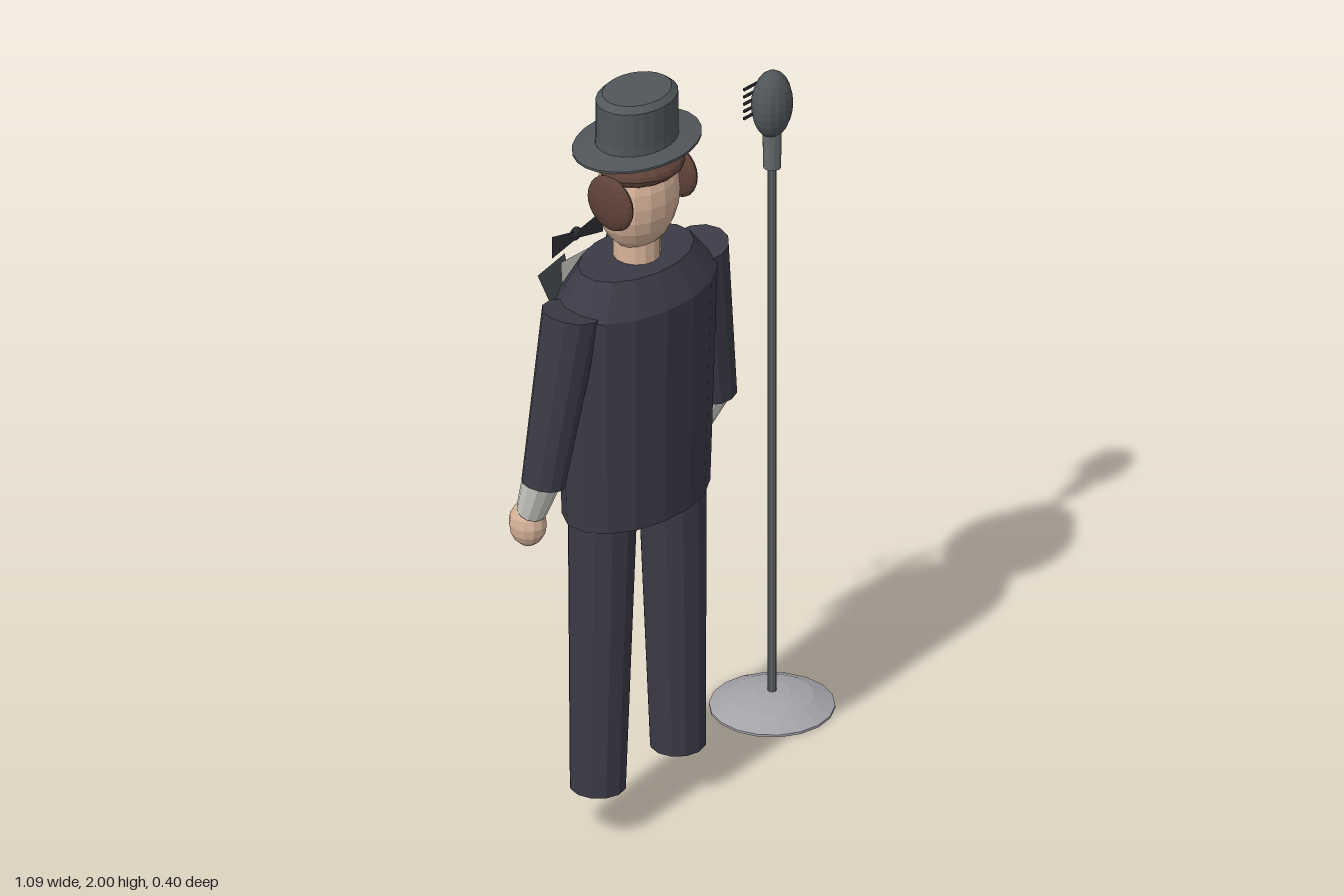
import * as THREE from 'three';

const mat = (name, color, side = THREE.FrontSide) =>
  new THREE.MeshStandardMaterial({ name, color, side, flatShading: true });

export function createModel() {
  const root = new THREE.Group();
  root.name = 'singerWithMicrophone';

  const navy = mat('navySuit', 0x3b3b47);
  const felt = mat('greyFelt', 0x50565a, THREE.DoubleSide);
  const skin = mat('skin', 0xd8b49a);
  const brown = mat('brownHair', 0x5e4238);
  const white = mat('whiteLinen', 0xd6d6d0, THREE.DoubleSide);
  const black = mat('blackSilk', 0x2c2f34, THREE.DoubleSide);
  const steel = mat('steel', 0x666a6c);
  const silver = mat('silverBase', 0xa2a2a8);

  const add = (parent, name, geometry, material, x = 0, y = 0, z = 0) => {
    const m = new THREE.Mesh(geometry, material);
    m.name = name;
    m.position.set(x, y, z);
    parent.add(m);
    return m;
  };
  const ellipsoid = (rx, ry, rz, w = 16, h = 12) => new THREE.SphereGeometry(1, w, h).scale(rx, ry, rz);
  const lathe = (points, sides, depth = 1, start = 0) =>
    new THREE.LatheGeometry(points.map(([r, y]) => new THREE.Vector2(r, y)), sides, start).scale(1, 1, depth);

  // Tapered tube between two points
  const limb = (parent, name, a, b, ra, rb, material, sides = 12) => {
    const from = new THREE.Vector3(...a), to = new THREE.Vector3(...b);
    const dir = to.clone().sub(from);
    const m = add(parent, name, new THREE.CylinderGeometry(rb, ra, dir.length(), sides), material);
    m.position.copy(from).addScaledVector(dir, 0.5);
    m.quaternion.setFromUnitVectors(new THREE.Vector3(0, 1, 0), dir.normalize());
    return m;
  };

  // Flat convex panel as a triangle fan
  const panel = (parent, name, corners, material) => {
    const g = new THREE.BufferGeometry();
    g.setAttribute('position', new THREE.Float32BufferAttribute(corners.flat(), 3));
    const index = [];
    for (let i = 1; i < corners.length - 1; i++) index.push(0, i, i + 1);
    g.setIndex(index);
    g.computeVertexNormals();
    return add(parent, name, g, material);
  };

  // The singer looks towards -z
  const man = new THREE.Group();
  man.name = 'singer';
  man.position.x = -0.194;
  root.add(man);
  const cz = 0.052;

  // Jacket body
  add(man, 'jacket', lathe([[0, 0.87], [0.217, 0.87], [0.238, 1.46], [0.17, 1.545], [0, 1.545]],
    16, 0.63, Math.PI / 16), navy, 0, 0, cz);

  // Neck, head and hair
  add(man, 'neck', new THREE.CylinderGeometry(0.058, 0.058, 0.15, 14), skin, 0, 1.585, 0.055);
  add(man, 'head', ellipsoid(0.113, 0.148, 0.092), skin, 0, 1.718, 0.058);
  add(man, 'topHair', ellipsoid(0.116, 0.04, 0.096), brown, 0, 1.805, 0.071);

  // Hat
  add(man, 'hatBrim', lathe([[0, 1.845], [0.11, 1.846], [0.18, 1.855], [0.18, 1.861], [0.115, 1.87], [0, 1.87]],
    24, 0.74), felt, 0, 0, cz + 0.003);
  add(man, 'hatCrown', lathe([[0.115, 1.855], [0.112, 1.89], [0.112, 1.985], [0.094, 2], [0, 2]],
    24, 0.785), felt, 0, 0, cz + 0.003);

  for (const s of [-1, 1]) {
    const side = s > 0 ? 'left' : 'right';
    add(man, side + 'SideHair', ellipsoid(0.023, 0.072, 0.073), brown, s * 0.113, 1.738, 0.074);

    // Arm
    limb(man, side + 'Sleeve', [s * 0.303, 1.025, 0.03], [s * 0.225, 1.475, 0.05], 0.054, 0.073, navy);
    limb(man, side + 'Cuff', [s * 0.288, 0.925, -0.022], [s * 0.302, 1.05, 0.03], 0.038, 0.05, white);
    add(man, side + 'Hand', ellipsoid(0.045, 0.06, 0.048, 12, 8), skin, s * 0.288, 0.884, -0.035);

    // Trouser leg
    limb(man, side + 'Leg', [s * 0.141, 0.13, 0.058], [s * 0.122, 0.92, 0.056], 0.069, 0.086, navy);

    // Lapel and bow wing
    panel(man, side + 'Lapel', [[s * 0.205, 1.515, -0.08], [s * 0.075, 1.51, -0.112], [s * 0.005, 1.265, -0.131],
      [s * 0.055, 1.255, -0.122]], felt);
    panel(man, side + 'BowWing', [[0, 1.51, -0.14], [s * 0.09, 1.49, -0.14], [s * 0.09, 1.55, -0.14],
      [0, 1.53, -0.14]], black);
  }

  // Shirt front and bow knot
  panel(man, 'shirtFront', [[0, 1.14, -0.118], [0.07, 1.21, -0.112], [0.102, 1.5, -0.1],
    [-0.102, 1.5, -0.1], [-0.07, 1.21, -0.112]], white);
  add(man, 'bowKnot', ellipsoid(0.018, 0.018, 0.01, 10, 8), black, 0, 1.52, -0.146);

  // Microphone on its stand
  const stand = new THREE.Group();
  stand.name = 'microphoneStand';
  stand.position.set(0.394, 0, -0.049);
  root.add(stand);
  add(stand, 'base', lathe([[0, 0], [0.152, 0], [0.152, 0.006], [0.1, 0.031], [0.045, 0.043], [0, 0.045]], 18), silver);
  add(stand, 'pole', new THREE.CylinderGeometry(0.011, 0.011, 1.47, 10), steel, 0, 0.77, 0);
  add(stand, 'holder', new THREE.CylinderGeometry(0.024, 0.022, 0.11, 12), steel, 0, 1.55, 0);
  add(stand, 'microphoneHead', ellipsoid(0.055, 0.09, 0.047), felt, 0, 1.67, 0);
  for (let i = 0; i < 5; i++)
    add(stand, 'grilleBar', new THREE.BoxGeometry(0.1, 0.006, 0.005), black, 0, 1.63 + i * 0.02, -0.047);

  return root;
}
